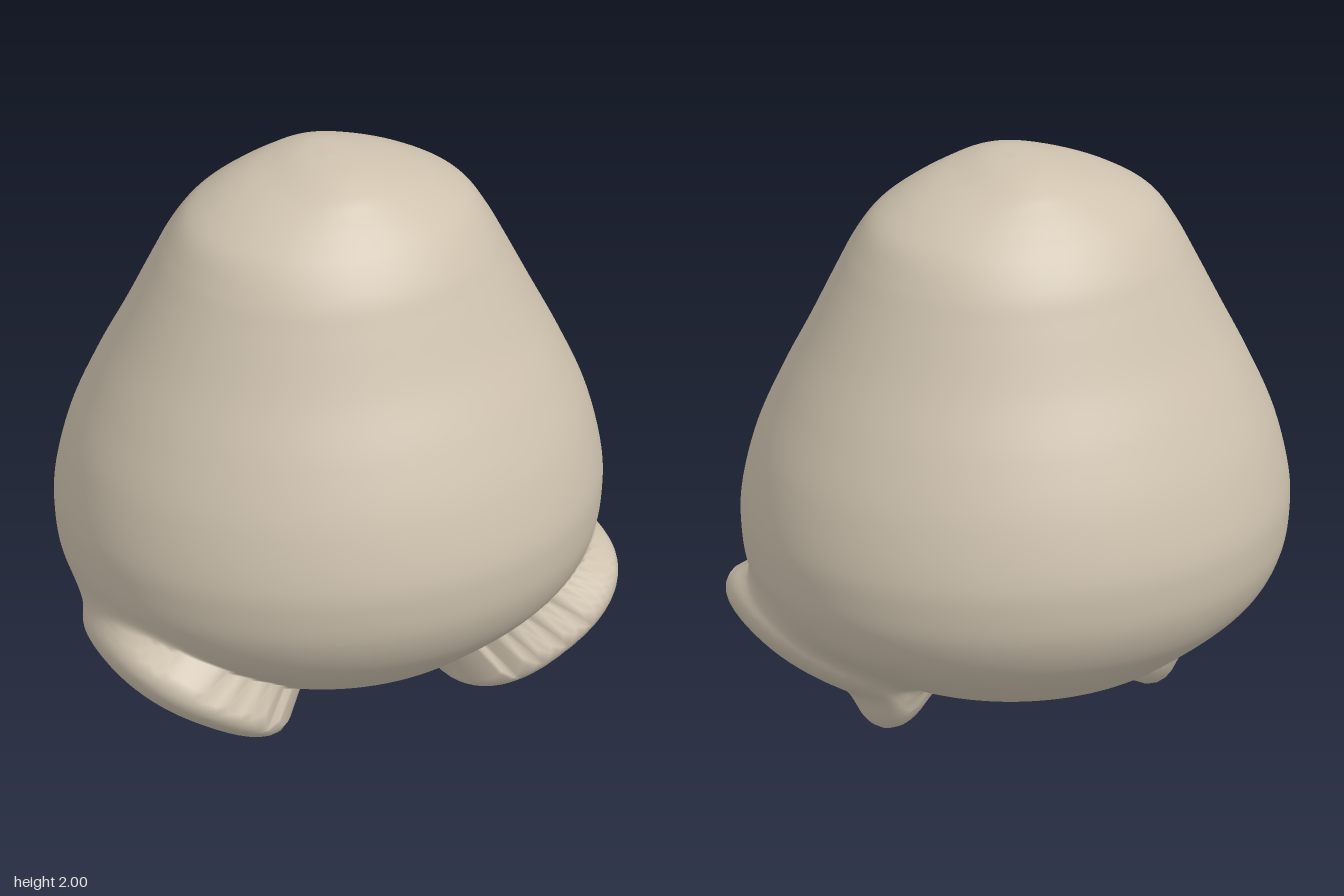
import * as THREE from 'three';

// Body outline: [half width in x, height, half depth in z], crown to base
const PROFILE = [
  [0, 2, 0], [0.1, 1.987, 0.14], [0.2, 1.955, 0.23], [0.3, 1.92, 0.28], [0.4, 1.87, 0.34],
  [0.495, 1.8, 0.41], [0.56, 1.7, 0.48], [0.61, 1.6, 0.525], [0.705, 1.4, 0.61], [0.8, 1.2, 0.71],
  [0.88, 1, 0.79], [0.922, 0.8, 0.836], [0.923, 0.7, 0.836], [0.905, 0.58, 0.815], [0.84, 0.45, 0.75],
  [0.66, 0.31, 0.61], [0.52, 0.235, 0.5], [0.26, 0.18, 0.25], [0, 0.16, 0],
];
const CENTER = new THREE.Vector3(0, 0.75, 0);
const RINGS = 180, SIDES = 180;

// Smooth minimum: blends two distance fields
const blend = (a, b, k) => {
  const h = Math.max(k - Math.abs(a - b), 0) / k;
  return Math.min(a, b) - h * h * k * 0.25;
};

// Broad leg lobe, slanting down and inward, mirrored in x
function legField(p) {
  const x = Math.abs(p.x) - 0.59, y = p.y - 0.28, z = p.z - 0.185;
  const along = x * 0.86 + y * 0.51, across = x * 0.51 - y * 0.86;
  const q = Math.pow(
    Math.pow(Math.abs(along) / 0.36, 2.4) + Math.pow(Math.abs(across) / 0.13, 2.4) + Math.pow(Math.abs(z) / 0.385, 2.4),
    1 / 2.4);
  return (q - 1) * 0.14;
}

// Small foot under each leg
function footField(p) {
  const q = Math.hypot((Math.abs(p.x) - 0.465) / 0.1, (p.y - 0.12) / 0.12, p.z / 0.135);
  return (q - 1) * 0.1;
}

// Pushes a body point outward until it lies on the blended body, legs and feet
function swell(point) {
  const dir = point.clone().sub(CENTER);
  const radius = dir.length();
  dir.normalize();
  const p = new THREE.Vector3();
  const field = (s) => {
    p.copy(CENTER).addScaledVector(dir, s);
    return blend(s - radius, blend(legField(p), footField(p), 0.06), 0.05);
  };
  const step = 0.005;
  let s = radius + 0.45, last = field(s);
  while (s > radius) {
    const now = field(s - step);
    if (now <= 0) {
      s -= step * last / (last - now);
      break;
    }
    last = now;
    s -= step;
  }
  return point.copy(CENTER).addScaledVector(dir, s);
}

function bodyGeometry() {
  const curve = new THREE.CatmullRomCurve3(PROFILE.map((p) => new THREE.Vector3(...p)));
  const positions = [], index = [];
  for (let r = 0; r <= RINGS; r++) {
    const c = curve.getPoint(r / RINGS);
    for (let i = 0; i < SIDES; i++) {
      const a = (i / SIDES) * Math.PI * 2;
      const p = new THREE.Vector3(c.x * Math.cos(a), c.y, c.z * Math.sin(a));
      if (p.y < 0.7) swell(p);
      positions.push(p.x, p.y, p.z);
      if (r < RINGS) {
        const j = (i + 1) % SIDES, m = r * SIDES, n = m + SIDES;
        index.push(m + i, m + j, n + i, m + j, n + j, n + i);
      }
    }
  }
  const g = new THREE.BufferGeometry();
  g.setAttribute('position', new THREE.Float32BufferAttribute(positions, 3));
  g.setIndex(index);
  g.computeVertexNormals();
  return g;
}

export function createModel() {
  const group = new THREE.Group();
  group.name = 'roundCreature';
  const skin = new THREE.MeshStandardMaterial({ color: 0xcfc3af });
  skin.name = 'warm beige';
  const body = new THREE.Mesh(bodyGeometry(), skin);
  body.name = 'bodyWithLegs';
  group.add(body);
  return group;
}
